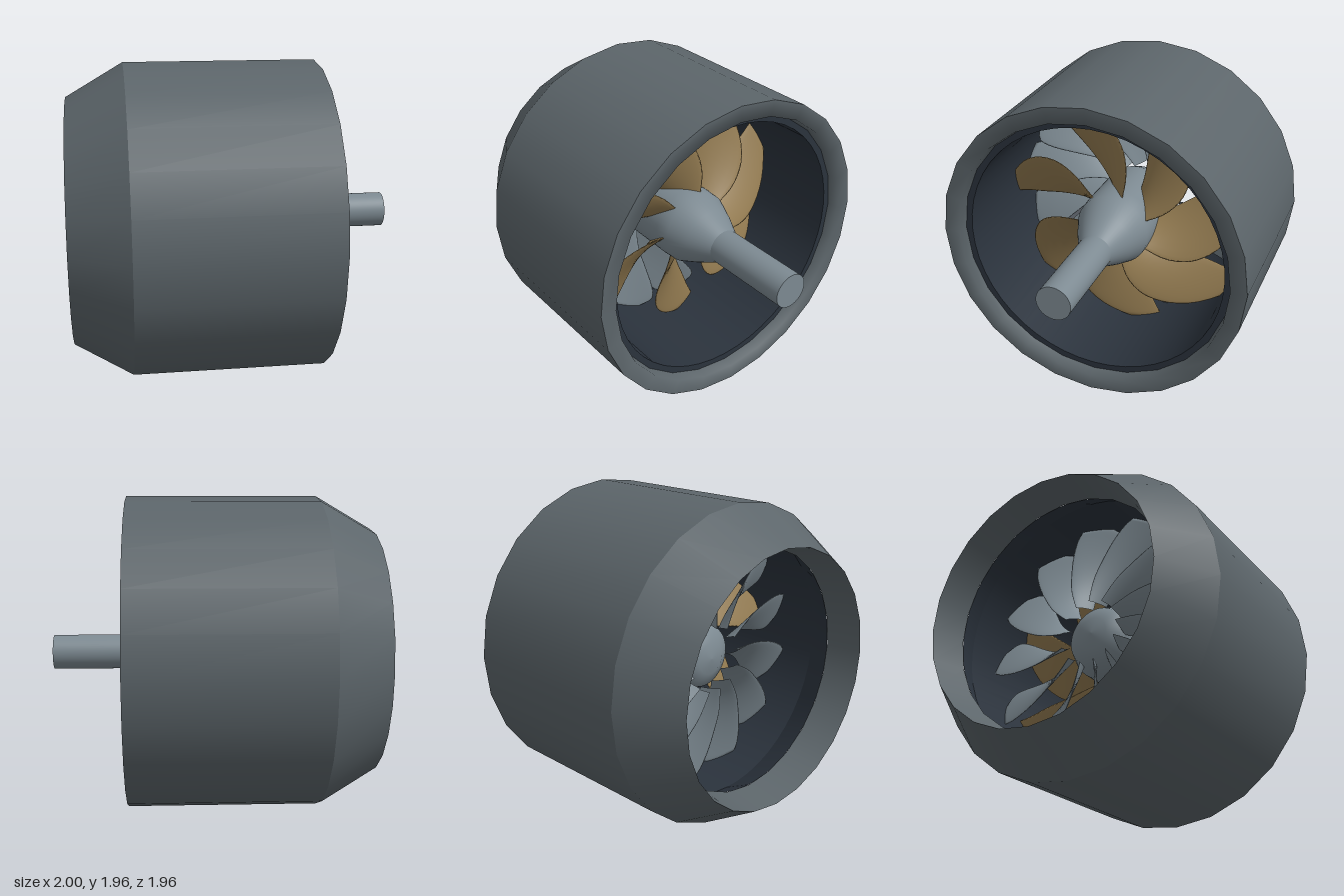
import * as THREE from 'three';

const SHELL = 0x5c656a, LINER = 0x2b333d, METAL = 0x7d8a92, BRONZE = 0x927a50;
const AXIS_Y = 0.98;

const mat = (color) => new THREE.MeshStandardMaterial({ color });

// Surface of revolution around the x axis; profile points are [x, radius].
// Rising x faces outwards, falling x faces inwards.
function turned(name, profile, color, sides = 24) {
  const geo = new THREE.LatheGeometry(profile.map(([x, r]) => new THREE.Vector2(r, x)), sides);
  geo.rotateZ(-Math.PI / 2);
  const mesh = new THREE.Mesh(geo, mat(color));
  mesh.name = name;
  return mesh;
}

// Helical blade lofted from stations [radius, startAngle, endAngle] in degrees.
// pitch is the axial advance per radian; midAngle lies on x = 0.
function bladeGeometry(stations, pitch, midAngle, thickness) {
  const rows = 16, n = 20;
  const curve = new THREE.CatmullRomCurve3(stations.map((s) => new THREE.Vector3(...s)));
  const pos = [], index = [];
  for (let i = 0; i <= rows; i++) {
    const { x: r, y: a, z: b } = curve.getPoint(i / rows);
    const t = thickness * (1 - 0.6 * i / rows);
    for (let j = 0; j < n; j++) {
      const w = (2 * Math.PI * j) / n;
      const deg = a + (b - a) * (1 - Math.cos(w)) / 2;
      const phi = THREE.MathUtils.degToRad(deg);
      const x = pitch * THREE.MathUtils.degToRad(deg - midAngle) + t * Math.sin(w);
      pos.push(x, r * Math.cos(phi), -r * Math.sin(phi));
    }
  }
  for (let i = 0; i < rows; i++) {
    for (let j = 0; j < n; j++) {
      const k = (j + 1) % n;
      const a = i * n + j, b = i * n + k, c = a + n, d = b + n;
      index.push(a, b, c, b, d, c);
    }
  }
  // Tip cap
  const tip = rows * n;
  for (let j = 1; j < n - 1; j++) index.push(tip, tip + j, tip + j + 1);
  const geo = new THREE.BufferGeometry();
  geo.setAttribute('position', new THREE.Float32BufferAttribute(pos, 3));
  geo.setIndex(index);
  geo.computeVertexNormals();
  return geo;
}

// Ring of identical blades around the x axis
function bladeRing(name, geo, count, color, x) {
  const ring = new THREE.Group();
  ring.name = name;
  ring.position.x = x;
  const material = mat(color);
  for (let i = 0; i < count; i++) {
    const blade = new THREE.Mesh(geo, material);
    blade.name = name + 'Blade';
    blade.rotation.x = (-2 * Math.PI * i) / count;
    ring.add(blade);
  }
  return ring;
}

export function createModel() {
  const model = new THREE.Group();
  model.name = 'ductedPropeller';
  model.position.y = AXIS_Y;

  // Duct: outer shell, intake lip, tapered nozzle, outlet and dark liner
  model.add(
    turned('ductShell', [[-0.65, 0.98], [0.53, 0.98]], SHELL),
    turned('intakeLip', [[0.53, 0.98], [0.53, 0.88], [0.45, 0.868]], SHELL),
    turned('nozzle', [[-1, 0.775], [-0.65, 0.98]], SHELL),
    turned('outletFlare', [[-0.78, 0.735], [-1, 0.775]], SHELL),
    turned('linerFront', [[0.46, 0.875], [0.46, 0.825]], LINER, 48),
    turned('ductLiner', [[0.46, 0.825], [-0.6, 0.82]], LINER, 48),
    turned('linerTaper', [[-0.6, 0.82], [-0.78, 0.733]], LINER, 48),
  );

  // Drive shaft and streamlined hub
  model.add(
    turned('shaft', [[0.3, 0.108], [1, 0.108]], METAL, 48),
    turned('shaftEnd', [[1, 0.108], [1, 0]], METAL, 48),
    turned('hub', [[-0.46, 0], [-0.45, 0.1], [-0.4, 0.19], [-0.3, 0.235], [0.05, 0.24],
      [0.15, 0.235], [0.28, 0.18], [0.42, 0.109]], METAL, 48),
  );

  // Bronze rotor
  const rotorBlade = bladeGeometry([
    [0.2, 28, 66], [0.36, 20, 64], [0.5, 15.5, 58], [0.6, 13, 50.5], [0.72, 11.5, 38], [0.82, 10, 24],
  ], 0.3, 35, 0.018);
  model.add(bladeRing('rotor', rotorBlade, 7, BRONZE, -0.04));

  // Fixed vanes behind the rotor, pitched the opposite way
  const statorBlade = bladeGeometry([
    [0.2, 11, 27], [0.36, 4, 24], [0.5, -3, 20], [0.65, -8, 16], [0.75, -9, 13], [0.82, -3, 10],
  ], -0.4, 8, 0.016);
  model.add(bladeRing('stator', statorBlade, 13, METAL, -0.36));

  const root = new THREE.Group();
  root.name = 'thruster';
  root.add(model);
  return root;
}
